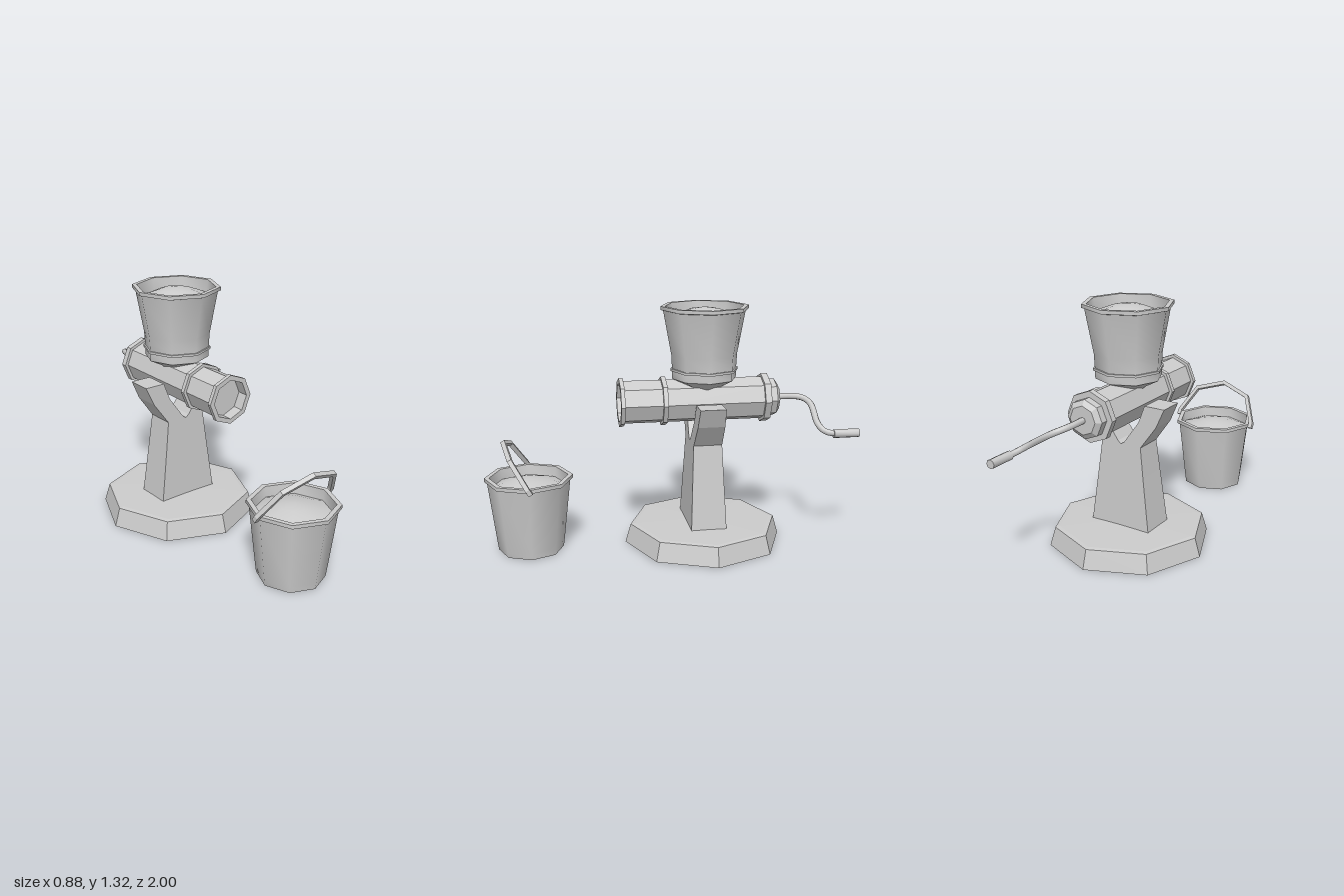
import * as THREE from 'three';
import { toCreasedNormals } from 'three/addons/utils/BufferGeometryUtils.js';

const smooth = new THREE.MeshStandardMaterial({ color: 0xcccccc });
const flat = new THREE.MeshStandardMaterial({ color: 0xcccccc, flatShading: true });
const flatDouble = new THREE.MeshStandardMaterial({ color: 0xcccccc, flatShading: true, side: THREE.DoubleSide });

const vec2 = (points) => points.map(([x, y]) => new THREE.Vector2(x, y));

function addMesh(parent, name, geometry, material) {
  const mesh = new THREE.Mesh(geometry, material);
  mesh.name = name;
  parent.add(mesh);
  return mesh;
}

// Eight-sided turned form from [radius, height] points
function octagonLathe(points, soft = false) {
  const geometry = new THREE.LatheGeometry(vec2(points), 8);
  return soft ? toCreasedNormals(geometry, 0.87) : geometry;
}

export function createModel() {
  const model = new THREE.Group();
  model.name = 'handGrinderWithBucket';

  const grinder = new THREE.Group();
  grinder.name = 'grinder';
  grinder.position.z = -0.205;
  model.add(grinder);

  // Hollow octagonal base with a slightly domed top
  addMesh(grinder, 'base', octagonLathe([[0, 0.09], [0.4, 0.085], [0.425, 0], [0.44, 0], [0.41, 0.103], [0.385, 0.107], [0, 0.117]]), flatDouble);

  // Elongated octagonal socket under the base
  const socketOutline = (w, d, c) => vec2([[w, c - d], [w, d - c], [w - c, d], [c - w, d], [-w, d - c], [-w, c - d], [c - w, -d], [w - c, -d]]);
  const socketShape = new THREE.Shape(socketOutline(0.2, 0.1, 0.055));
  socketShape.holes.push(new THREE.Path(socketOutline(0.185, 0.085, 0.05)));
  const socket = new THREE.ExtrudeGeometry(socketShape, { depth: 0.05, bevelEnabled: false });
  socket.rotateX(-Math.PI / 2).translate(0, 0.045, 0);
  addMesh(grinder, 'baseSocket', socket, flat);

  // Forked pedestal, thinning toward the top
  const side = [[0.18, 0.1], [0.14, 0.41], [0.12, 0.575], [0.21, 0.7], [0.257, 0.805], [0.14, 0.805], [0.105, 0.71], [0.02, 0.59]];
  const mirrored = side.map(([x, y]) => [-x, y]).reverse();
  const standShape = new THREE.Shape(vec2([...side, [0, 0.575], ...mirrored]));
  const stand = new THREE.ExtrudeGeometry(standShape, { depth: 2, bevelEnabled: false });
  const p = stand.attributes.position;
  for (let i = 0; i < p.count; i++) {
    const half = THREE.MathUtils.mapLinear(p.getY(i), 0.1, 0.805, 0.098, 0.069);
    p.setZ(i, (p.getZ(i) - 1) * half);
  }
  addMesh(grinder, 'forkedStand', stand, flat);

  // Horizontal barrel with three flanges, an open front and a chamfered back cap
  const barrel = octagonLathe([
    [0, -0.615], [0.075, -0.615], [0.103, -0.595], [0.103, -0.555],
    [0.135, -0.555], [0.135, -0.52], [0.118, -0.52], [0.118, 0.01],
    [0.135, 0.01], [0.135, 0.035], [0.118, 0.035], [0.118, 0.24],
    [0.135, 0.24], [0.135, 0.262], [0.108, 0.262], [0.108, 0.2], [0, 0.2],
  ]);
  barrel.rotateX(Math.PI / 2);
  addMesh(model, 'barrel', barrel, flat).position.y = 0.803;

  // Hopper with rim, lower band and tapered neck
  addMesh(grinder, 'hopper', octagonLathe([
    [0.09, 0.875], [0.1, 0.885], [0.176, 0.925], [0.176, 0.968], [0.186, 0.968], [0.186, 0.981], [0.177, 0.981],
    [0.181, 1.055], [0.225, 1.293], [0.24, 1.297], [0.24, 1.316], [0.215, 1.316], [0.205, 1.22],
  ], true), smooth);
  addMesh(grinder, 'hopperContents', octagonLathe([[0.21, 1.245], [0.15, 1.272], [0.08, 1.298], [0, 1.31]], true), smooth);

  // Bent crank and grip
  const crankPath = new THREE.CatmullRomCurve3([
    [0, 0.803, -0.6], [0, 0.803, -0.7], [0.015, 0.797, -0.755], [0.06, 0.775, -0.789], [0.2, 0.69, -0.792],
    [0.245, 0.66, -0.82], [0.26, 0.65, -0.88],
  ].map((c) => new THREE.Vector3(...c)), false, 'centripetal');
  addMesh(model, 'crank', new THREE.TubeGeometry(crankPath, 20, 0.017, 8), smooth);
  const grip = new THREE.CylinderGeometry(0.024, 0.024, 0.14, 8);
  grip.rotateX(Math.PI / 2);
  addMesh(model, 'crankGrip', toCreasedNormals(grip, 0.87), smooth).position.set(0.26, 0.65, -0.93);

  // Bucket with its contents and tilted handle
  const bucket = new THREE.Group();
  bucket.name = 'bucket';
  bucket.position.z = 0.757;
  model.add(bucket);
  addMesh(bucket, 'bucketBody', octagonLathe([
    [0, 0], [0.177, 0], [0.182, 0.035], [0.224, 0.392], [0.238, 0.394], [0.238, 0.414], [0.212, 0.414], [0.202, 0.32],
  ], true), smooth);
  addMesh(bucket, 'bucketContents', octagonLathe([[0.208, 0.355], [0.14, 0.38], [0.07, 0.398], [0, 0.407]], true), smooth);

  const outer = [[0.26, -0.012], [0.26, 0.02], [0.18, 0.187], [0, 0.252]];
  const inner = [[0.236, -0.012], [0.237, 0.018], [0.165, 0.169], [0, 0.228]];
  const flip = (points) => points.slice(0, -1).reverse().map(([x, y]) => [-x, y]);
  const handleOutline = [...outer, ...flip(outer), ...flip(inner).reverse(), ...inner.slice().reverse()];
  const handle = new THREE.ExtrudeGeometry(new THREE.Shape(vec2(handleOutline)), { depth: 0.024, bevelEnabled: false });
  handle.translate(0, 0, -0.012);
  const handleMesh = addMesh(bucket, 'bucketHandle', handle, flat);
  handleMesh.position.y = 0.402;
  handleMesh.rotation.x = 0.55;

  return model;
}
